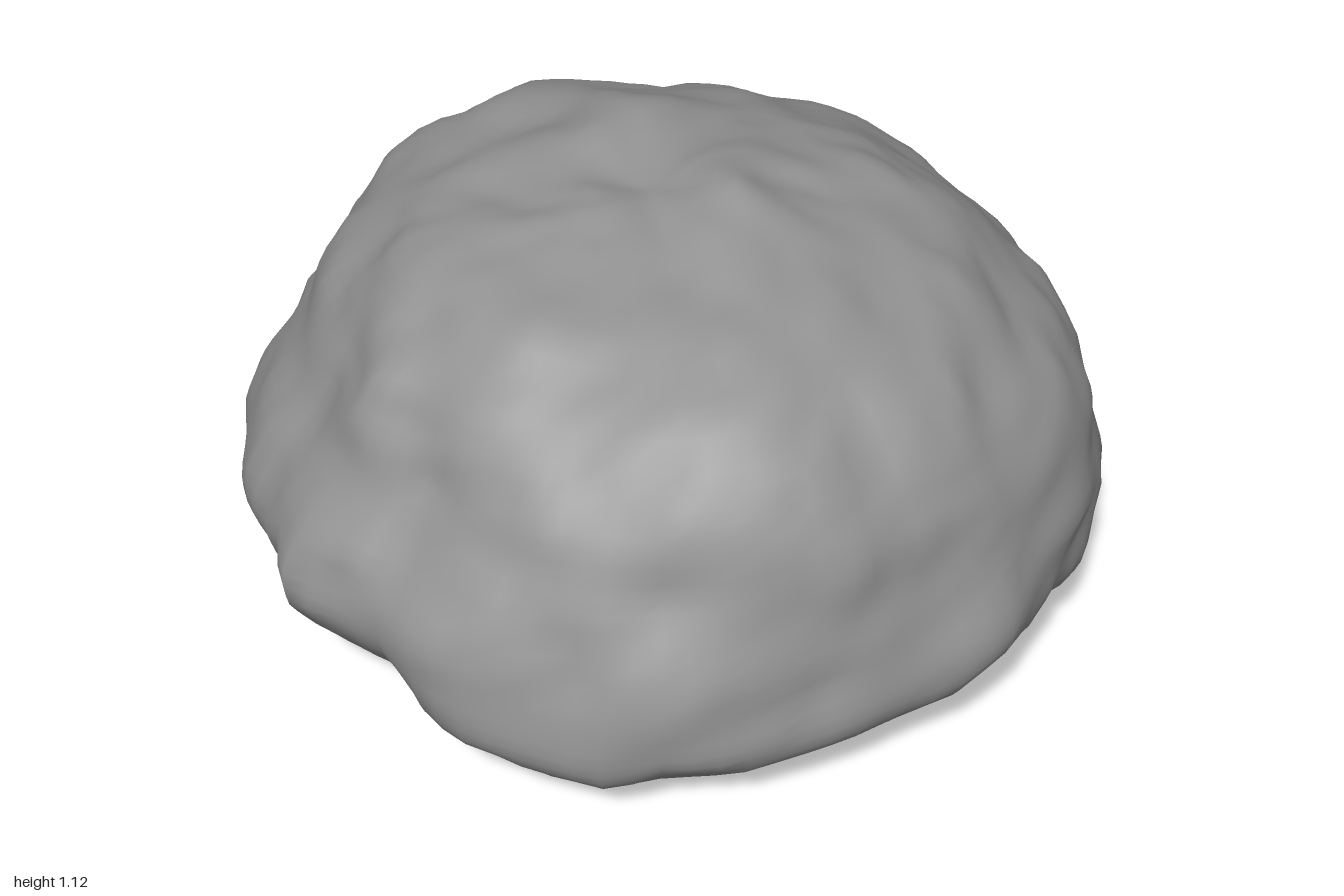
import * as THREE from 'three';

const SEGMENTS = 96, RINGS = 56;

// Bottom-to-top profiles (radius, height), all with the same number of points.
const curve = (pts) => new THREE.CatmullRomCurve3(pts.map(([r, y]) => new THREE.Vector3(r, y, 0)), false, 'centripetal');
const left = curve([[0, 0.04], [0.3, 0.045], [0.63, 0.065], [0.85, 0.16], [0.97, 0.28], [0.95, 0.42], [0.91, 0.57], [0.885, 0.69], [0.835, 0.8], [0.73, 0.91], [0.57, 1.0], [0.36, 1.06], [0.18, 1.08], [0, 1.08]]);
const front = curve([[0, 0.04], [0.25, 0.045], [0.53, 0.055], [0.79, 0.15], [0.92, 0.28], [0.98, 0.41], [0.93, 0.55], [0.82, 0.68], [0.765, 0.8], [0.71, 0.89], [0.59, 0.98], [0.41, 1.05], [0.2, 1.07], [0, 1.08]]);
const right = curve([[0, 0.04], [0.3, 0.045], [0.62, 0.07], [0.85, 0.15], [0.98, 0.27], [0.95, 0.4], [0.89, 0.54], [0.88, 0.68], [0.84, 0.8], [0.735, 0.91], [0.58, 1.0], [0.39, 1.06], [0.2, 1.08], [0, 1.08]]);
const back = curve([[0, 0.04], [0.35, 0.045], [0.68, 0.065], [0.89, 0.14], [0.95, 0.26], [0.98, 0.4], [0.96, 0.55], [0.93, 0.68], [0.85, 0.79], [0.72, 0.9], [0.6, 0.99], [0.42, 1.06], [0.2, 1.09], [0, 1.08]]);
const frontCorner = curve([[0, 0.04], [0.3, 0.045], [0.62, 0.07], [0.84, 0.13], [0.96, 0.23], [0.98, 0.35], [0.93, 0.5], [0.86, 0.64], [0.79, 0.77], [0.7, 0.88], [0.57, 0.97], [0.38, 1.04], [0.2, 1.07], [0, 1.08]]);
const backCorner = curve([[0, 0.04], [0.33, 0.045], [0.66, 0.08], [0.87, 0.16], [0.96, 0.28], [0.98, 0.41], [0.94, 0.55], [0.9, 0.68], [0.82, 0.79], [0.7, 0.9], [0.56, 0.99], [0.38, 1.06], [0.2, 1.08], [0, 1.08]]);
// Every 45 degrees from +x towards +z.
const profiles = [left, frontCorner, front, frontCorner, right, backCorner, back, backCorner];

// Plan outline radius every 15 degrees from +x towards +z.
const outline = [0.98, 0.98, 0.99, 0.965, 0.967, 0.935, 0.98, 0.925, 0.945, 0.976, 0.965, 0.99,
  1, 1, 1, 1.045, 1.05, 1.02, 0.985, 1, 1.035, 1.05, 1.03, 1.015];

// Low crests on the crown: x, z, height, spread.
const crests = [[-0.26, -0.18, 0.055, 0.14], [0.17, -0.12, 0.05, 0.14]];

const { lerp, smoothstep } = THREE.MathUtils;
const smooth = (t) => t * t * (3 - 2 * t);

// Seeded lattice noise, -1 to 1.
function hash(x, y, z) {
  let h = (x * 374761393 + y * 668265263 + z * 1274126177 + 1013) | 0;
  h = Math.imul(h ^ (h >>> 13), 1274126177);
  return (((h ^ (h >>> 16)) >>> 0) / 4294967295) * 2 - 1;
}
function noise(p, f) {
  const [x, y, z] = [p.x * f, p.y * f, p.z * f];
  const [i, j, k] = [x, y, z].map(Math.floor);
  const [u, v, w] = [smooth(x - i), smooth(y - j), smooth(z - k)];
  let sum = 0;
  for (let c = 0; c < 8; c++) {
    const a = c & 1, b = (c >> 1) & 1, d = c >> 2;
    sum += hash(i + a, j + b, k + d) * (a ? u : 1 - u) * (b ? v : 1 - v) * (d ? w : 1 - w);
  }
  return sum;
}

// Blend neighbouring profiles around the rock, then add crests and roughness.
function surfacePoint(angle, t) {
  const q = angle / (Math.PI / 4), i = Math.floor(q) % 8;
  const s = profiles[i].getPoint(t).lerp(profiles[(i + 1) % 8].getPoint(t), smooth(q % 1));
  const o = angle / (Math.PI / 12), n = Math.floor(o) % 24;
  const rim = lerp(outline[n], outline[(n + 1) % 24], o % 1) / 0.98;
  // The outline shapes the flanks; crown and underside stay round.
  const radius = s.x * lerp(1, rim, smoothstep(s.x, 0.3, 0.85));
  const p = new THREE.Vector3(Math.cos(angle) * radius, s.y, Math.sin(angle) * radius);
  const bump = 0.022 * noise(p, 4.7) + 0.018 * noise(p, 8.3) + 0.006 * noise(p, 15);
  const out = new THREE.Vector3(p.x, (p.y - 0.5) * 1.5, p.z).normalize();
  if (s.y > 0.8)
    for (const [x, z, h, w] of crests)
      p.y += h * Math.exp(-((p.x - x) ** 2 + (p.z - z) ** 2) / (w * w));
  return p.addScaledVector(out, bump);
}

function rockGeometry() {
  const bottom = 0, top = 1, index = [];
  const pos = [...surfacePoint(0, 0).toArray(), ...surfacePoint(0, 1).toArray()];
  const id = (ring, seg) => 2 + (ring - 1) * SEGMENTS + (seg % SEGMENTS);
  for (let r = 1; r < RINGS; r++)
    for (let s = 0; s < SEGMENTS; s++)
      pos.push(...surfacePoint((s / SEGMENTS) * Math.PI * 2, r / RINGS).toArray());
  for (let s = 0; s < SEGMENTS; s++) {
    index.push(bottom, id(1, s), id(1, s + 1));
    for (let r = 1; r < RINGS - 1; r++) {
      const a = id(r, s), b = id(r, s + 1), c = id(r + 1, s), d = id(r + 1, s + 1);
      index.push(a, c, b, b, c, d);
    }
    index.push(id(RINGS - 1, s), top, id(RINGS - 1, s + 1));
  }
  const g = new THREE.BufferGeometry();
  g.setAttribute('position', new THREE.Float32BufferAttribute(pos, 3));
  g.setIndex(index);
  g.computeVertexNormals();
  return g;
}

export function createModel() {
  const stone = new THREE.MeshStandardMaterial({ color: 0x929292 });
  stone.name = 'stone grey';
  const rock = new THREE.Mesh(rockGeometry(), stone);
  rock.name = 'boulder';
  const group = new THREE.Group();
  group.name = 'rock';
  group.add(rock);
  return group;
}
